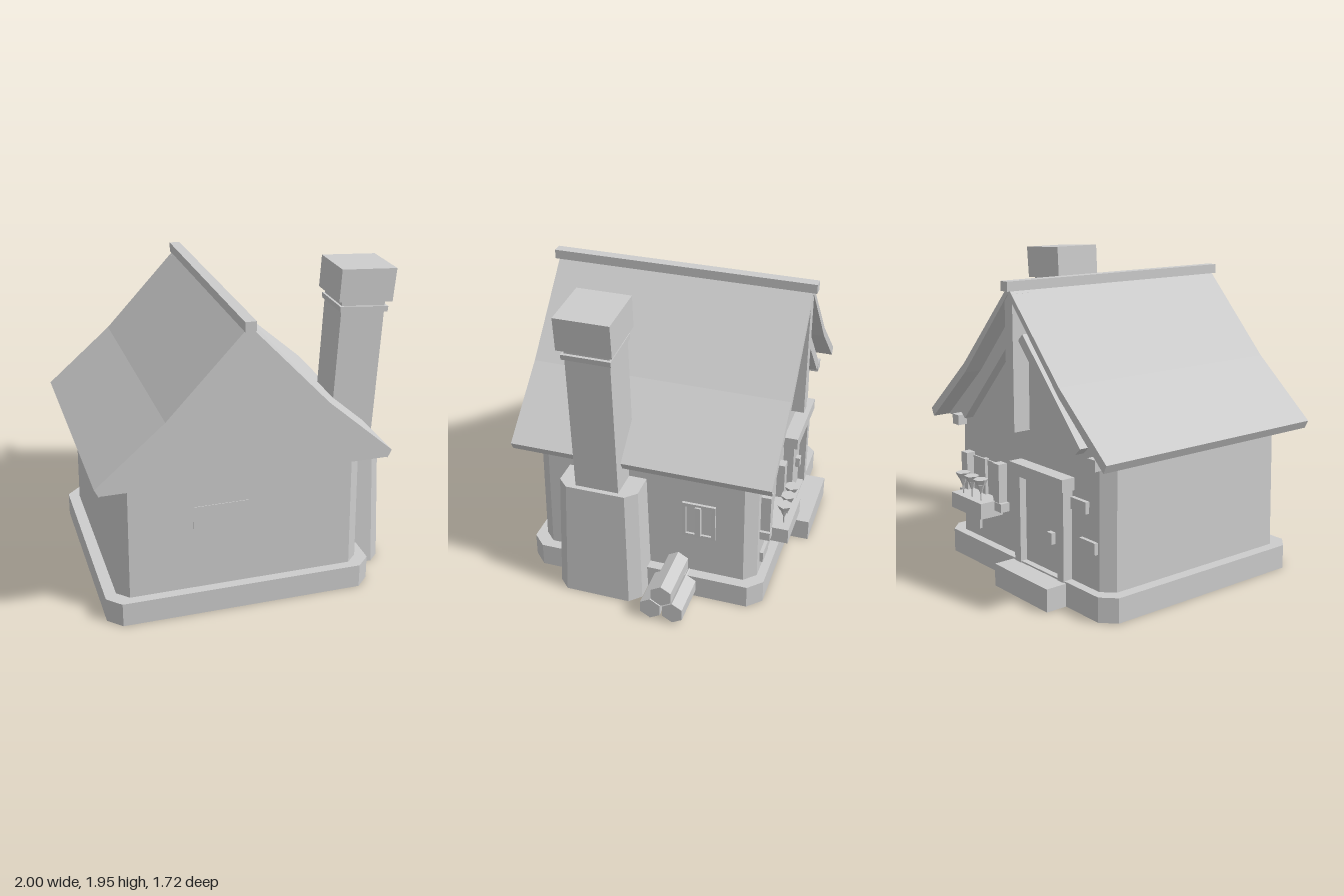
import * as THREE from 'three';

const stone = new THREE.MeshStandardMaterial({ color: 0xcccccc, flatShading: true, side: THREE.DoubleSide });
stone.name = 'plain grey';

// Chamfered rectangle corners, anticlockwise seen from above
function ring([y, x0, x1, z0, z1, c]) {
  return [
    [x0 + c, z1], [x1 - c, z1], [x1, z1 - c], [x1, z0 + c],
    [x1 - c, z0], [x0 + c, z0], [x0, z0 + c], [x0, z1 - c],
  ].map(([x, z]) => [x, y, z]);
}

// Tapered block with chamfered corners, closed on top and open below
function chamferedBlock(bottom, top) {
  const a = ring(bottom), b = ring(top), pos = [];
  const mid = [(top[1] + top[2]) / 2, top[0], (top[3] + top[4]) / 2];
  for (let i = 0; i < 8; i++) {
    const j = (i + 1) % 8;
    pos.push(...a[i], ...a[j], ...b[j], ...a[i], ...b[j], ...b[i]);
    pos.push(...mid, ...b[i], ...b[j]);
  }
  const g = new THREE.BufferGeometry();
  g.setAttribute('position', new THREE.Float32BufferAttribute(pos, 3));
  g.computeVertexNormals();
  return g;
}

// Front profile pushed along z
function profile(points, z0, z1, hole) {
  const shape = new THREE.Shape(points.map(([x, y]) => new THREE.Vector2(x, y)));
  if (hole) shape.holes.push(new THREE.Path(hole.map(([x, y]) => new THREE.Vector2(x, y))));
  const g = new THREE.ExtrudeGeometry(shape, { depth: z1 - z0, bevelEnabled: false });
  g.translate(0, 0, z0);
  return g;
}

function box(x0, x1, y0, y1, z0, z1) {
  const g = new THREE.BoxGeometry(x1 - x0, y1 - y0, z1 - z0);
  g.translate((x0 + x1) / 2, (y0 + y1) / 2, (z0 + z1) / 2);
  return g;
}

const rect = (x0, x1, y0, y1) => [[x0, y0], [x1, y0], [x1, y1], [x0, y1]];

export function createModel() {
  const model = new THREE.Group();
  model.name = 'cottage';
  const add = (name, geometry, parent = model) => {
    const mesh = new THREE.Mesh(geometry, stone);
    mesh.name = name;
    parent.add(mesh);
    return mesh;
  };
  const group = (name) => {
    const g = new THREE.Group();
    g.name = name;
    model.add(g);
    return g;
  };

  // Foundation and walls, the walls reaching up to the roof underside
  add('foundation', chamferedBlock([0, -0.945, 0.715, -0.72, 0.795, 0.083], [0.15, -0.945, 0.715, -0.72, 0.795, 0.083]));
  add('walls', chamferedBlock([0.15, -0.875, 0.65, -0.665, 0.735, 0.07], [1, -0.865, 0.64, -0.655, 0.725, 0.07]));

  // Roof shell with a kinked slope and ridge beam
  const under = [[-0.975, 0.897], [-0.59, 1.24], [-0.112, 1.765], [0.365, 1.24], [0.752, 0.897]];
  const outer = [[0.777, 0.946], [0.37, 1.3], [-0.112, 1.81], [-0.59, 1.3], [-1, 0.946]];
  add('roof', profile([...under, ...outer], -0.775, 0.835));
  add('ridgeBeam', box(-0.145, -0.08, 1.785, 1.842, -0.8, 0.86));

  // Gables: a wide panel at the front, a recessed one at the back
  add('frontGable', profile(under, 0.8, 0.825));
  add('backGable', profile(under, -0.66, -0.64));

  // Back gable timbers
  const timbers = group('gableTimbers');
  add('kingPost', box(-0.15, -0.075, 0.96, 1.77, -0.77, -0.65), timbers);
  for (const s of [-1, 1]) {
    const dx = 0.53, dy = 0.57;
    const brace = add('brace', new THREE.BoxGeometry(Math.hypot(dx, dy), 0.06, 0.06), timbers);
    brace.position.set(-0.112 + s * 0.32, 1.235, -0.7);
    brace.rotation.z = -s * Math.atan2(dy, dx);
    const x = -0.112 + s * 0.69;
    add('plateEnd', box(x - 0.035, x + 0.035, 0.865, 0.93, -0.72, -0.6), timbers);
  }

  // Leaning chimney on a tapered base
  const chimney = group('chimney');
  add('chimneyBase', chamferedBlock([0, 0.5, 0.89, 0, 0.54, 0.066], [0.77, 0.5, 0.862, 0.022, 0.517, 0.064]), chimney);
  add('chimneyShaft', profile([[0.552, 0.75], [0.83, 0.75], [0.88, 1.74], [0.603, 1.76]], 0.133, 0.403), chimney);
  add('chimneyCollar', profile([[0.588, 1.68], [0.892, 1.657], [0.896, 1.69], [0.585, 1.715]], 0.123, 0.418), chimney);
  add('chimneyCap', profile([[0.57, 1.75], [0.912, 1.722], [0.93, 1.928], [0.582, 1.948]], 0.107, 0.437), chimney);

  // Stacked hexagonal logs along x, a corner pointing up
  const logs = group('logs');
  for (const [y, z] of [[0.082, -0.11], [0.082, -0.25], [0.195, -0.18]]) {
    const log = new THREE.CylinderGeometry(0.072, 0.072, 0.345, 6);
    log.rotateY(Math.PI / 2).rotateZ(Math.PI / 2);
    add('log', log, logs).position.set(0.8235, y, z);
  }

  // Window on the right wall
  const sideWindow = group('sideWindow');
  const frame = profile(rect(0.205, 0.415, 0.415, 0.66), 0.63, 0.662, rect(0.23, 0.39, 0.437, 0.638));
  add('sideWindowFrame', frame.rotateY(Math.PI / 2), sideWindow);
  add('sideWindowBar', box(0.63, 0.675, 0.43, 0.645, -0.325, -0.29), sideWindow);

  // Flush panel on the front wall
  add('frontPanel', box(-0.41, -0.075, 0.455, 0.69, 0.725, 0.7325));

  // Door on the back wall
  const door = group('door');
  add('doorStep', box(-0.57, -0.045, 0, 0.14, -0.857, -0.68), door);
  add('doorLeaf', box(-0.49, -0.13, 0.15, 0.69, -0.68, -0.64), door);
  for (const x of [-0.555, -0.13]) add('doorPost', box(x, x + 0.06, 0.14, 0.69, -0.725, -0.64), door);
  add('lintel', box(-0.575, -0.055, 0.69, 0.765, -0.748, -0.64), door);
  add('doorHandle', box(-0.42, -0.375, 0.33, 0.4, -0.71, -0.67), door);

  // Loose bricks standing out of the back wall
  const bricks = group('bricks');
  for (const [x, y] of [[-0.64, 0.62], [-0.72, 0.4], [0.45, 0.245]]) {
    add('brick', box(x - 0.07, x + 0.07, y - 0.035, y + 0.035, -0.685, -0.63), bricks);
  }

  // Back window with shutters, sill and planter
  const backWindow = group('backWindow');
  add('windowPane', box(0.16, 0.46, 0.44, 0.68, -0.67, -0.64), backWindow);
  for (const x of [0.1, 0.455]) add('windowPost', box(x, x + 0.065, 0.44, 0.7, -0.72, -0.64), backWindow);
  add('windowBar', box(0.295, 0.33, 0.44, 0.69, -0.69, -0.64), backWindow);
  add('windowSill', box(0.075, 0.54, 0.4, 0.455, -0.725, -0.64), backWindow);
  add('planter', box(0.145, 0.48, 0.36, 0.46, -0.825, -0.66), backWindow);

  // Flowers: thin stem, leafy cone and wide cup
  const flowers = group('flowers');
  for (const x of [0.21, 0.31, 0.41]) {
    const flower = new THREE.Group();
    flower.name = 'flower';
    flower.position.set(x, 0, -0.78);
    flower.rotation.y = Math.PI / 6;
    flowers.add(flower);
    add('stem', new THREE.CylinderGeometry(0.005, 0.005, 0.1, 5), flower).position.y = 0.49;
    add('leaves', new THREE.CylinderGeometry(0.025, 0.006, 0.05, 6), flower).position.y = 0.535;
    add('blossom', new THREE.CylinderGeometry(0.047, 0.03, 0.035, 6), flower).position.y = 0.58;
  }
  return model;
}
